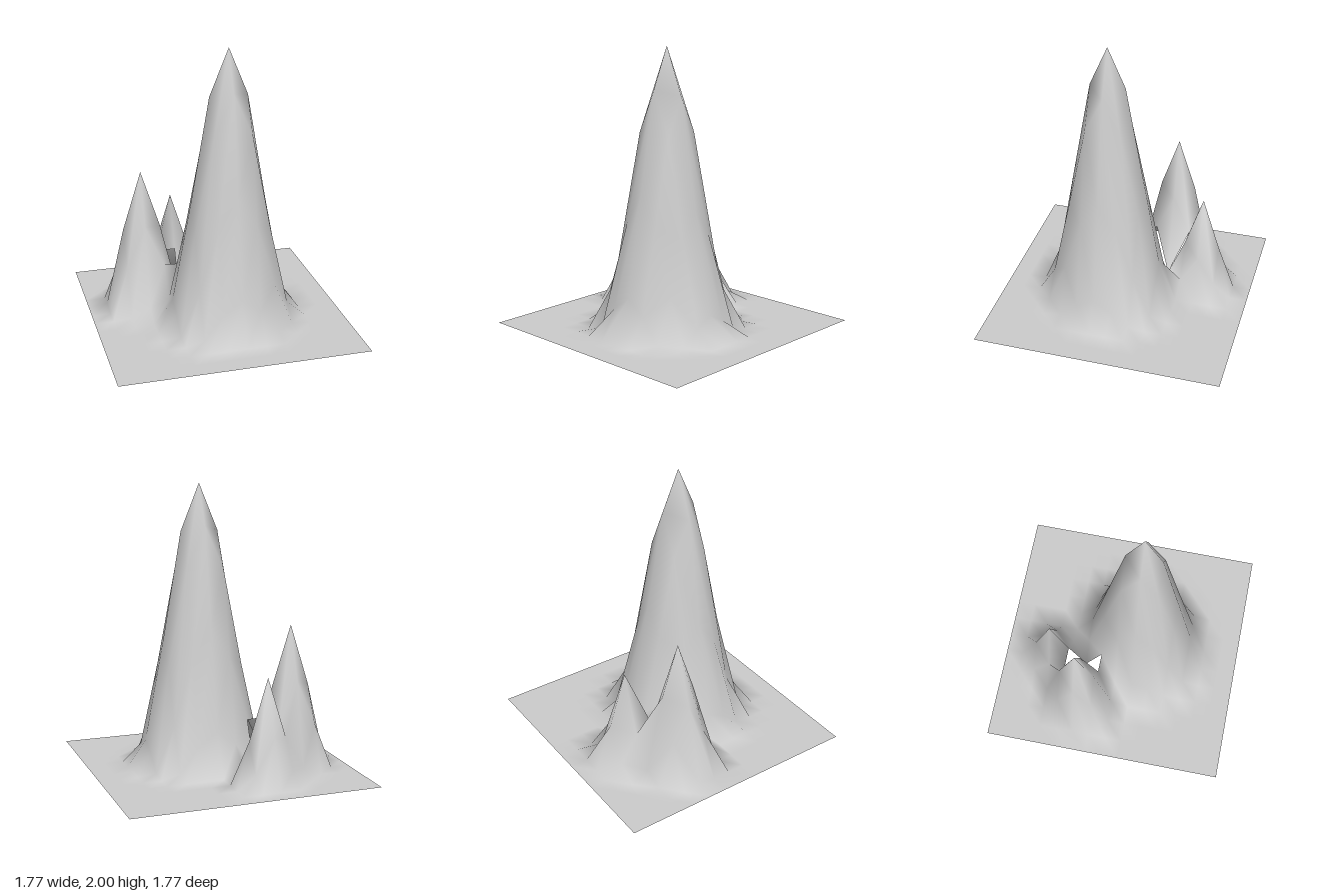
import * as THREE from 'three';

const HALF = 0.883, COLS = 13, ROWS = 14;

// Hills: centre x, centre z, height, base radius
const hills = [
  [0.068, 0.126, 2.0, 0.508],
  [-0.475, -0.252, 1.03, 0.304],
  [-0.204, -0.504, 0.73, 0.242],
];

// Each hill falls off as a raised cosine; the tallest one wins
function heightAt(x, z) {
  let y = 0;
  for (const [cx, cz, h, r] of hills) {
    const d = Math.hypot(x - cx, z - cz);
    if (d < r) y = Math.max(y, h * 0.5 * (1 + Math.cos((Math.PI * d) / r)));
  }
  return y;
}

export function createModel() {
  const group = new THREE.Group();

  // Grid vertices, row by row from back to front
  const positions = [];
  for (let j = 0; j <= ROWS; j++) {
    for (let i = 0; i <= COLS; i++) {
      const x = -HALF + (2 * HALF * i) / COLS;
      const z = -HALF + (2 * HALF * j) / ROWS;
      positions.push(x, heightAt(x, z), z);
    }
  }

  // Two triangles per cell, with a two-triangle gap in the valley between the hills
  const index = [];
  for (let j = 0; j < ROWS; j++) {
    for (let i = 0; i < COLS; i++) {
      const a = j * (COLS + 1) + i, d = a + 1;
      const b = a + COLS + 1, c = b + 1;
      if (i === 4 && j === 4) {
        index.push(a, b, c);
      } else {
        index.push(a, b, d);
        if (!(i === 4 && j === 5)) index.push(b, c, d);
      }
    }
  }

  const geometry = new THREE.BufferGeometry();
  geometry.setAttribute('position', new THREE.Float32BufferAttribute(positions, 3));
  geometry.setIndex(index);
  geometry.computeVertexNormals();

  const terrain = new THREE.Mesh(
    geometry,
    new THREE.MeshStandardMaterial({ color: 0xcccccc, side: THREE.DoubleSide })
  );
  terrain.name = 'terrain';
  group.add(terrain);
  return group;
}
